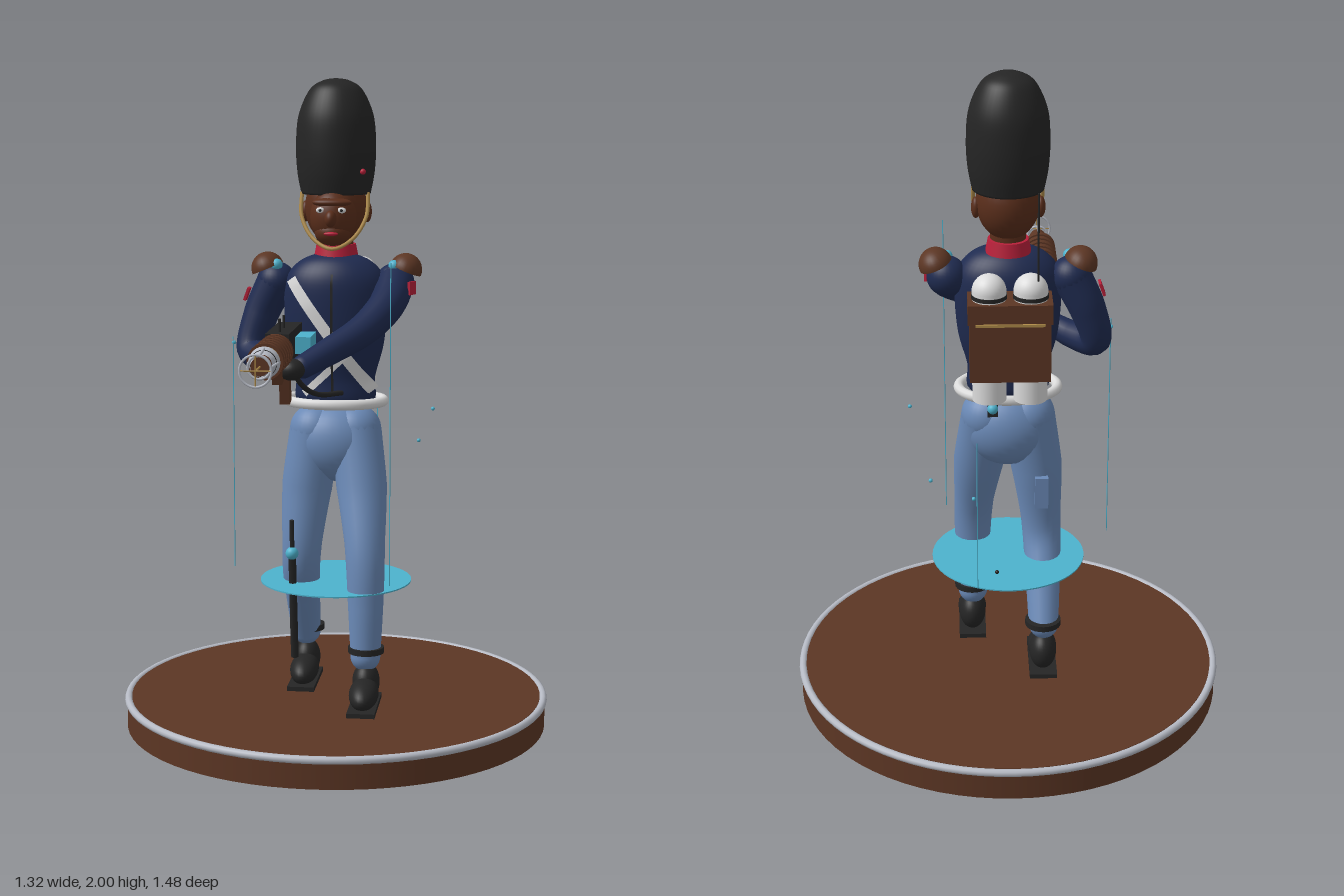
import * as THREE from 'three';

const V = (x, y, z) => new THREE.Vector3(x, y, z);
const mat = (name, color, side = THREE.FrontSide) => {
  const m = new THREE.MeshStandardMaterial({ color, side });
  m.name = name;
  return m;
};

export function createModel() {
  const wood = mat('brown leather and wood', 0x5c3624), skin = mat('skin', 0x5a2e1b);
  const metal = mat('silver metal', 0xb6bac4), black = mat('black', 0x252525);
  const navy = mat('navy cloth', 0x1f2b50), blue = mat('trouser blue', 0x6a89b6);
  const cyan = mat('cyan glow', 0x4db2cd);
  const white = mat('white', 0xdcdcdc, THREE.DoubleSide);
  const red = mat('red', 0xb8203a), gold = mat('gold', 0xb08c4a);

  const root = new THREE.Group();
  const add = (name, geo, material, pos = [0, 0, 0], rot = [0, 0, 0], parent = root) => {
    const m = new THREE.Mesh(geo, material);
    m.name = name;
    m.position.set(...pos);
    m.rotation.set(...rot);
    parent.add(m);
    return m;
  };
  const box = (x, y, z) => new THREE.BoxGeometry(x, y, z);
  const cyl = (a, b, h, n = 24) => new THREE.CylinderGeometry(a, b, h, n);
  const ball = (x, y = x, z = x) => new THREE.SphereGeometry(1, 28, 20).scale(x, y, z);
  const lathe = pts => new THREE.LatheGeometry(pts.map(p => new THREE.Vector2(...p)), 40);
  const smoothProfile = pts => new THREE.SplineCurve(pts.map(p => new THREE.Vector2(...p)))
    .getPoints(40).map(p => [Math.max(0, p.x), p.y]);
  const curve = pts => new THREE.CatmullRomCurve3(pts.map(p => V(p[0], p[1], p[2])));
  const tube = (pts, r) => new THREE.TubeGeometry(curve(pts), 32, r, 8);
  // Rod between two points
  const rod = (name, a, b, r, material, parent = root) => {
    const d = V(...b).sub(V(...a));
    const m = add(name, cyl(r, r, d.length(), 8), material, V(...a).addScaledVector(d, 0.5).toArray(), [0, 0, 0], parent);
    m.quaternion.setFromUnitVectors(V(0, 1, 0), d.normalize());
  };
  // Tapered limb through points [x, y, z, radius], with rounded ends
  const limb = (name, pts, material) => {
    const path = curve(pts), n = 32, sides = 20;
    const geo = new THREE.TubeGeometry(path, n, 1, sides), p = geo.attributes.position;
    for (let i = 0; i < p.count; i++) {
      const u = Math.floor(i / (sides + 1)) / n, f = u * (pts.length - 1);
      const k = Math.min(Math.floor(f), pts.length - 2);
      const c = path.getPointAt(u), r = THREE.MathUtils.lerp(pts[k][3], pts[k + 1][3], f - k);
      const v = V(0, 0, 0).fromBufferAttribute(p, i).sub(c).multiplyScalar(r).add(c);
      p.setXYZ(i, v.x, v.y, v.z);
    }
    add(name, geo, material);
    for (const e of [pts[0], pts[pts.length - 1]]) add(name + 'End', ball(e[3]), material, e.slice(0, 3));
  };

  // Round display base
  const cz = -0.075;
  add('base', cyl(0.655, 0.655, 0.085, 72), wood, [0, 0.0425, cz]);
  add('baseTop', cyl(0.64, 0.64, 0.01, 72), wood, [0, 0.089, cz]);
  add('baseRim', new THREE.TorusGeometry(0.65, 0.012, 10, 80), metal, [0, 0.086, cz], [Math.PI / 2, 0, 0]);

  // Floating disc, fine rods and sparks
  add('glowDisc', cyl(0.235, 0.235, 0.004, 56), cyan, [0, 0.455, cz]);
  rod('fineRod', [-0.31, 0.5, -0.02], [-0.31, 1.22, -0.02], 0.0015, cyan);
  rod('fineRod', [0.19, 0.5, 0.17], [0.19, 1.47, 0.17], 0.0015, cyan);
  rod('fineRod', [0.1, 0.5, -0.37], [0.1, 0.98, -0.37], 0.0015, cyan);
  [[0.295, 0.99, -0.13], [0.235, 0.85, -0.345], [0.045, 0.6, -0.45], [-0.31, 1.2, -0.035], [0.11, 0.8, -0.37]]
    .forEach((p, i) => add('spark', ball(0.006), i === 2 ? black : cyan, p));

  // Trousers
  add('hips', ball(0.135, 0.12, 0.1), blue, [0, 0.89, -0.065]);
  limb('leftLeg', [[0.062, 0.93, -0.065, 0.08], [0.088, 0.75, -0.01, 0.078], [0.105, 0.55, 0.055, 0.062],
    [0.108, 0.4, 0.068, 0.055], [0.108, 0.25, 0.07, 0.046]], blue);
  limb('rightLeg', [[-0.062, 0.93, -0.065, 0.08], [-0.088, 0.75, -0.055, 0.078], [-0.105, 0.52, -0.045, 0.062],
    [-0.107, 0.4, -0.1, 0.055], [-0.107, 0.26, -0.175, 0.046]], blue);
  add('hipPouch', box(0.04, 0.1, 0.04), blue, [-0.1, 0.7, -0.13]);

  // Boots
  for (const [x, z] of [[0.11, 0.12], [-0.105, -0.13]]) {
    const boot = new THREE.Group();
    boot.name = x > 0 ? 'leftBoot' : 'rightBoot';
    boot.position.set(x, 0.1, z);
    add('sole', box(0.085, 0.014, 0.23), black, [0, 0.01, 0], [0, 0, 0], boot);
    add('toe', ball(0.045, 0.042, 0.085), black, [0, 0.05, 0.015], [0.15, 0, 0], boot);
    add('heel', ball(0.042, 0.06, 0.055), black, [0, 0.07, -0.05], [0, 0, 0], boot);
    add('cuff', cyl(0.055, 0.055, 0.018), black, [0, 0.172, -0.05], [0, 0, 0], boot);
    root.add(boot);
  }

  // Coat
  const profile = [[0, 1.01], [0.115, 1.02], [0.122, 1.1], [0.148, 1.2], [0.158, 1.32], [0.15, 1.4], [0.11, 1.45], [0.05, 1.475], [0, 1.48]];
  const tz = -0.065, depth = 0.68;
  add('coat', lathe(smoothProfile(profile)).scale(1, 1, depth), navy, [0, 0, tz]);
  const frontZ = (x, y) => {
    const k = Math.max(0, profile.findIndex(p => p[1] >= y) - 1), [a, b] = [profile[k], profile[k + 1]];
    const r = THREE.MathUtils.lerp(a[0], b[0], (y - a[1]) / (b[1] - a[1]));
    return tz + depth * Math.sqrt(Math.max(0.0004, r * r - x * x)) + 0.008;
  };
  // Flat strap following the chest
  const strap = (name, a, b, w, material) => {
    const geo = new THREE.PlaneGeometry(1, 1, 24, 1), p = geo.attributes.position;
    const dx = b[0] - a[0], dy = b[1] - a[1], l = Math.hypot(dx, dy);
    for (let i = 0; i < p.count; i++) {
      const t = p.getX(i) + 0.5, s = p.getY(i) * w;
      const x = a[0] + dx * t - dy / l * s, y = a[1] + dy * t + dx / l * s;
      p.setXYZ(i, x, y, frontZ(x, y));
    }
    geo.computeVertexNormals();
    add(name, geo, material);
  };
  strap('chestStrap', [-0.13, 1.4], [0.12, 1.06], 0.035, white);
  strap('crossStrap', [0.1, 1.23], [-0.09, 1.05], 0.022, white);
  strap('coatSeam', [0, 1.42], [0, 1.05], 0.007, black);
  add('belt', new THREE.TorusGeometry(0.148, 0.016, 10, 48).scale(1, 0.72, 1), white, [0, 1.023, tz], [Math.PI / 2, 0, 0]);
  add('collar', cyl(0.06, 0.068, 0.04, 32), red, [0, 1.483, -0.08]);
  add('neck', cyl(0.05, 0.055, 0.1), skin, [0, 1.51, -0.075]);

  // Arms and gloves
  limb('rightArm', [[-0.185, 1.385, -0.085, 0.06], [-0.235, 1.28, -0.09, 0.055], [-0.26, 1.175, -0.07, 0.048],
    [-0.2, 1.16, 0.0, 0.044], [-0.145, 1.17, 0.055, 0.036]], navy);
  limb('leftArm', [[0.18, 1.385, -0.075, 0.06], [0.165, 1.33, 0.02, 0.054], [0.105, 1.265, 0.12, 0.048],
    [0.02, 1.215, 0.205, 0.042], [-0.055, 1.175, 0.275, 0.035]], navy);
  add('rightGlove', ball(0.036, 0.03, 0.036), black, [-0.125, 1.16, 0.08]);
  add('leftGlove', ball(0.04, 0.032, 0.04), black, [-0.085, 1.17, 0.305]);

  // Shoulder pieces
  for (const s of [-1, 1]) {
    const dome = new THREE.SphereGeometry(1, 24, 12, 0, Math.PI * 2, 0, Math.PI / 2).scale(0.05, 0.05, 0.06);
    const g = new THREE.Group();
    g.name = s > 0 ? 'leftShoulderPiece' : 'rightShoulderPiece';
    g.position.set(s * 0.212, 1.425, -0.085);
    g.rotation.z = -s * 0.4;
    add('dome', dome, wood, [0, 0, 0], [0, 0, 0], g);
    add('underside', new THREE.CircleGeometry(1, 24).scale(0.05, 0.06, 1), wood, [0, 0, 0], [Math.PI / 2, 0, 0], g);
    add('light', ball(0.018), cyan, [-s * 0.035, 0, 0.03], [0, 0, 0], g);
    root.add(g);
  }
  add('leftArmPatch', box(0.008, 0.04, 0.04), red, [0.236, 1.375, -0.025], [0, -0.4, 0]);
  add('rightArmPatch', box(0.008, 0.04, 0.04), red, [-0.276, 1.345, -0.085], [0, 0, -0.35]);

  // Head
  add('head', ball(0.094, 0.115, 0.1), skin, [0, 1.615, -0.075]);
  add('face', ball(0.07, 0.085, 0.07), skin, [0, 1.59, -0.005]);
  add('jaw', ball(0.055, 0.042, 0.055), skin, [0, 1.545, 0.008]);
  add('nose', ball(0.018, 0.025, 0.025), skin, [0, 1.588, 0.065]);
  add('mouth', ball(0.022, 0.006, 0.008), red, [0, 1.543, 0.06]);
  add('brow', ball(0.06, 0.014, 0.03), skin, [0, 1.635, 0.035]);
  for (const s of [-1, 1]) {
    add('ear', ball(0.014, 0.032, 0.022), skin, [s * 0.094, 1.6, -0.085]);
    add('eye', ball(0.013, 0.009, 0.006), white, [s * 0.032, 1.613, 0.055]);
    add('pupil', ball(0.005), black, [s * 0.032, 1.613, 0.058]);
  }
  // Tall fur hat
  const hat = smoothProfile([[0.105, 1.655], [0.117, 1.72], [0.121, 1.8], [0.113, 1.89], [0.08, 1.965], [0.04, 1.993], [0, 2]]);
  add('furHat', lathe([[0, 1.655], ...hat]), black, [0, 0, cz]);
  add('hatBadge', ball(0.009), red, [0.09, 1.725, 0.005]);
  add('chinStrap', tube([[-0.1, 1.66, -0.045], [-0.098, 1.59, -0.02], [-0.06, 1.525, 0.01], [0, 1.495, 0.03],
    [0.06, 1.525, 0.01], [0.098, 1.59, -0.02], [0.1, 1.66, -0.045]], 0.006), gold);

  // Backpack with twin tanks
  const pack = new THREE.Group();
  pack.name = 'backpack';
  root.add(pack);
  add('packBox', box(0.235, 0.23, 0.11), wood, [0, 1.25, -0.235], [0, 0, 0], pack);
  add('packFlap', box(0.245, 0.06, 0.118), wood, [0, 1.345, -0.235], [0, 0, 0], pack);
  add('packTrim', box(0.2, 0.008, 0.006), gold, [0, 1.315, -0.296], [0, 0, 0], pack);
  for (const s of [-1, 1]) {
    add('tank', cyl(0.05, 0.05, 0.34, 28), white, [s * 0.06, 1.23, -0.235], [0, 0, 0], pack);
    add('tankTop', ball(0.05), white, [s * 0.06, 1.4, -0.235], [0, 0, 0], pack);
    add('tankBand', cyl(0.052, 0.052, 0.012, 28), black, [s * 0.06, 1.385, -0.235], [0, 0, 0], pack);
  }
  rod('antenna', [-0.08, 1.36, -0.26], [-0.08, 1.7, -0.26], 0.003, black, pack);
  add('packValve', box(0.03, 0.06, 0.03), black, [0.05, 1.02, -0.2], [0, 0, 0], pack);
  add('packLight', ball(0.016), cyan, [0.05, 1.02, -0.222], [0, 0, 0], pack);

  // Sword hanging at the right side
  rod('scabbard', [-0.125, 0.56, 0.02], [-0.125, 0.21, -0.035], 0.012, black);
  rod('swordGrip', [-0.125, 0.55, 0.018], [-0.125, 0.66, 0.025], 0.007, black);
  add('swordPommel', ball(0.02), cyan, [-0.125, 0.555, 0.02]);

  // Gun, pointing forward
  const gun = new THREE.Group();
  gun.name = 'gun';
  gun.position.set(-0.122, 1.23, 0);
  root.add(gun);
  const along = (name, r1, r2, z1, z2, m) =>
    add(name, cyl(r2, r1, z2 - z1), m, [0, 0, (z1 + z2) / 2], [Math.PI / 2, 0, 0], gun);
  add('receiver', box(0.07, 0.085, 0.28), black, [0, 0.005, 0.2], [0, 0, 0], gun);
  add('sidePack', box(0.045, 0.05, 0.13), cyan, [0.06, 0, 0.165], [0, 0, 0], gun);
  along('stock', 0.03, 0.025, 0, 0.08, metal);
  along('barrelCollar', 0.03, 0.042, 0.335, 0.365, metal);
  along('barrel', 0.038, 0.038, 0.36, 0.6, black);
  for (let i = 0; i < 6; i++) {
    const z = 0.365 + i * 0.036;
    along('coil', 0.052, 0.052, z, z + 0.022, wood);
    along('coilGap', 0.043, 0.043, z + 0.022, z + 0.036, i % 2 ? gold : cyan);
  }
  along('muzzleCone', 0.045, 0.026, 0.58, 0.625, metal);
  along('muzzle', 0.028, 0.026, 0.61, 0.665, wood);
  for (const [r, z] of [[0.032, 0.675], [0.044, 0.742]])
    add('muzzleRing', new THREE.TorusGeometry(r, 0.0035, 8, 32), metal, [0, 0, z], [0, 0, 0], gun);
  for (let i = 0; i < 4; i++) {
    const c = Math.cos(i * Math.PI / 2), s = Math.sin(i * Math.PI / 2);
    rod('prong', [c * 0.04, s * 0.04, 0.575], [c * 0.032, s * 0.032, 0.675], 0.004, metal, gun);
    rod('ringSpoke', [0, 0, 0.742], [c * 0.044, s * 0.044, 0.742], 0.002, gold, gun);
  }
  rod('muzzlePin', [0, 0, 0.65], [0, 0, 0.742], 0.003, gold, gun);
  for (const z of [0.2, 0.285]) rod('sight', [0, 0.04, z], [0, 0.085, z], 0.004, black, gun);
  add('grip', box(0.03, 0.12, 0.04), wood, [0, -0.12, 0.18], [0.2, 0, 0], gun);
  add('foregrip', box(0.03, 0.05, 0.045), wood, [0, -0.07, 0.325], [0.3, 0, 0], gun);
  add('gunHose', tube([[-0.1, 1.19, 0.27], [-0.07, 1.11, 0.2], [-0.03, 1.065, 0.1], [0.03, 1.06, 0.03]], 0.008), black);

  return root;
}
